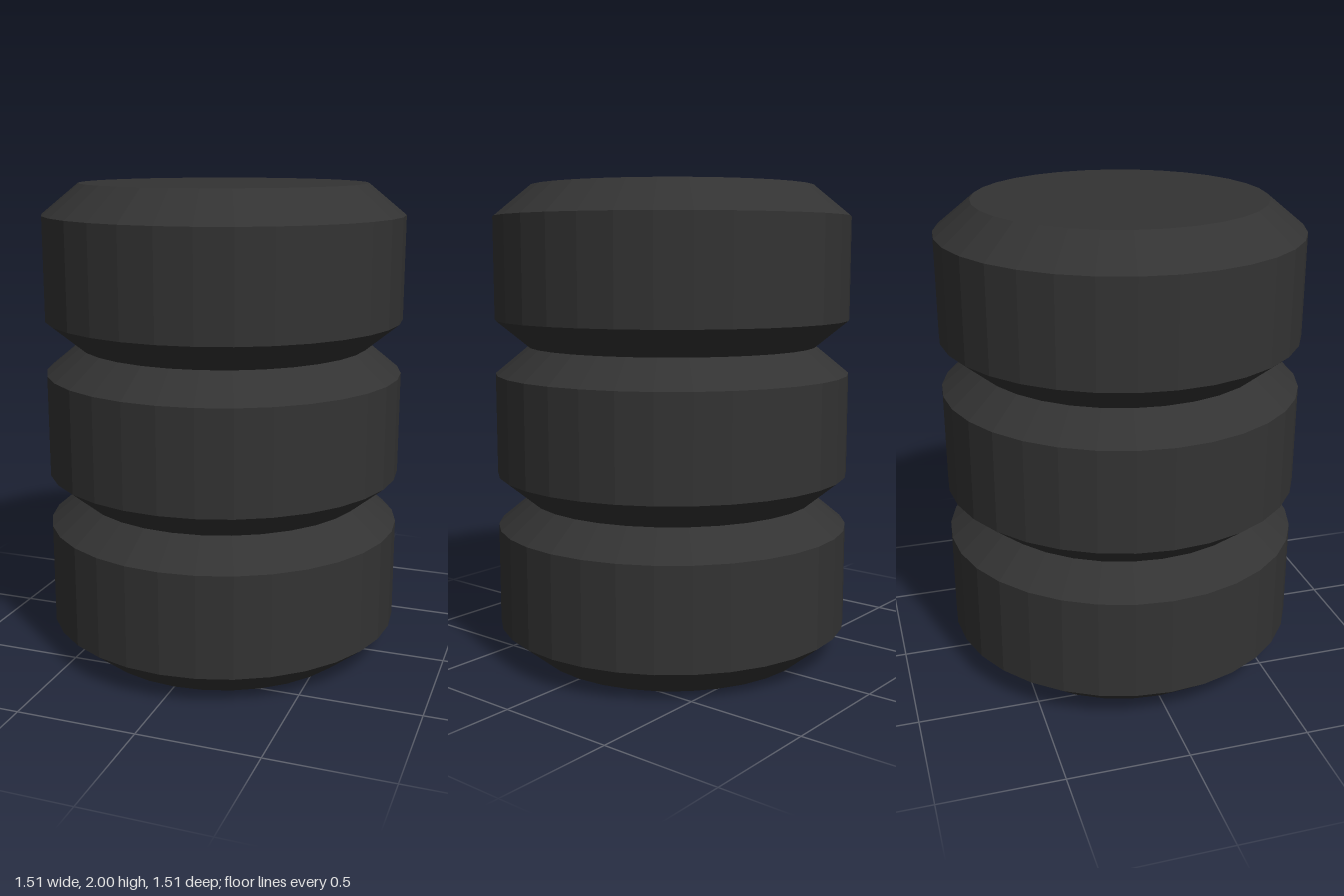
import * as THREE from 'three';

const SIDES = 32;
const OUTER = 0.757; // tread radius
const INNER = 0.602; // flat face radius
const HEIGHT = 0.684;
const BEVEL = 0.127;
const COUNT = 3;

export function createModel() {
  const model = new THREE.Group();
  model.name = 'tireStack';

  const material = new THREE.MeshStandardMaterial({ color: 0x333333, flatShading: true });

  // One chamfered tire: flat face, bevel, tread, bevel, flat face
  const profile = [
    [0, 0],
    [INNER, 0],
    [OUTER, BEVEL],
    [OUTER, HEIGHT - BEVEL],
    [INNER, HEIGHT],
    [0, HEIGHT],
  ].map(([r, y]) => new THREE.Vector2(r, y));
  const geometry = new THREE.LatheGeometry(profile, SIDES);

  // Stack the tires so each sinks slightly into the one below
  const spacing = (2 - HEIGHT) / (COUNT - 1);
  ['bottomTire', 'middleTire', 'topTire'].forEach((name, i) => {
    const tire = new THREE.Mesh(geometry, material);
    tire.name = name;
    tire.position.y = i * spacing;
    model.add(tire);
  });

  return model;
}
